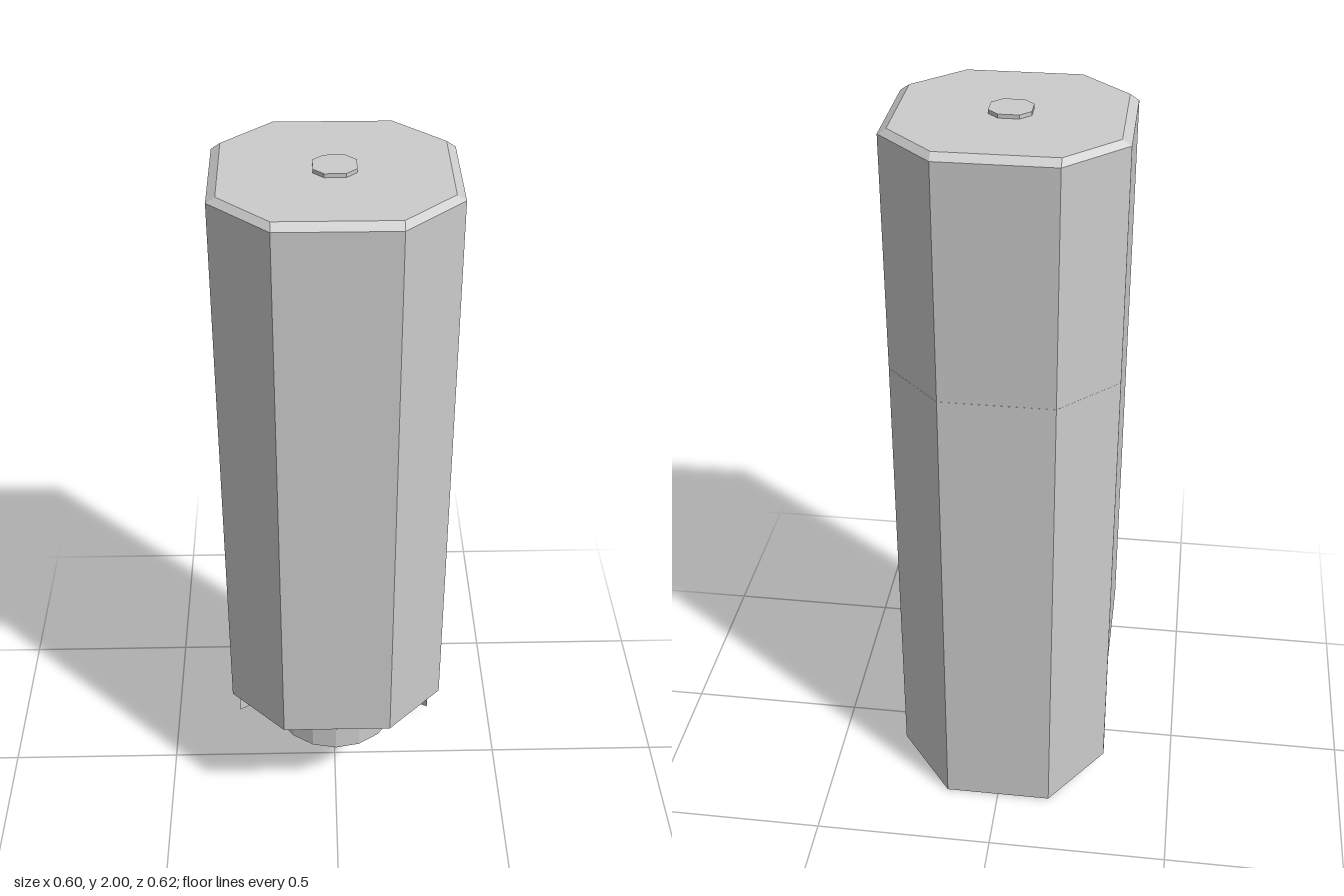
import * as THREE from 'three';

const CZ = 0.0075; // z of the body axis

const material = new THREE.MeshStandardMaterial({ color: 0xcccccc, flatShading: true });

function addMesh(group, name, geometry, x = 0, y = 0, z = 0) {
  const mesh = new THREE.Mesh(geometry, material);
  mesh.name = name;
  mesh.position.set(x, y, z);
  group.add(mesh);
  return mesh;
}

// Joins rings of [x, y, z] points, lowest first, into a closed solid.
function loft(rings) {
  const pos = [];
  const quad = (a, b, c, d) => pos.push(...a, ...b, ...c, ...a, ...c, ...d);
  const n = rings[0].length;
  for (let r = 0; r < rings.length - 1; r++) {
    const lo = rings[r], hi = rings[r + 1];
    for (let i = 0; i < n; i++) {
      const j = (i + 1) % n;
      quad(lo[i], hi[i], hi[j], lo[j]);
    }
  }
  const first = rings[0], last = rings[rings.length - 1];
  for (let i = 0; i < n / 2 - 1; i++) {
    quad(first[i], first[i + 1], first[n - 2 - i], first[n - 1 - i]);
    quad(last[n - 1 - i], last[n - 2 - i], last[i + 1], last[i]);
  }
  const geometry = new THREE.BufferGeometry();
  geometry.setAttribute('position', new THREE.Float32BufferAttribute(pos, 3));
  geometry.computeVertexNormals();
  return geometry;
}

// Octagon with half width w and half length f of its straight sides
function octagon(w, f, y) {
  return [[w, -f], [w, f], [f, w], [-f, w], [-w, f], [-w, -f], [-f, -w], [f, -w]]
    .map(([x, z]) => [x, y, z + CZ]);
}

// Section of the back plate: outer side pushed back by d, corners raised by rise
function plateSection(y, d, rise) {
  const wrap = [[-0.3, -0.15, rise], [-0.15, -0.3, 0], [0.15, -0.3, 0], [0.3, -0.15, rise]];
  const outer = wrap.map(([x, z, up]) => [x, y + up, z + CZ - d]);
  const inner = wrap.map(([x, z, up]) => [x, y + up, z + CZ]).reverse();
  return [...outer, ...inner];
}

export function createModel() {
  const model = new THREE.Group();
  model.name = 'dispenser';

  // Octagonal housing, chamfered at both ends
  addMesh(model, 'housing', loft([
    octagon(0.28, 0.15, 0.4),
    octagon(0.3, 0.15, 0.42),
    octagon(0.3, 0.15, 1.975),
    octagon(0.277, 0.15, 1.99),
  ]));

  // Small cap on the top
  addMesh(model, 'topButton', loft([
    octagon(0.053, 0.026, 1.985),
    octagon(0.053, 0.026, 2),
  ]));

  // Wedge-shaped plate down the back, reaching the floor
  addMesh(model, 'backPlate', loft([
    plateSection(0, 0.0175, 0.055),
    plateSection(1.34, 0.0005, 0),
  ]));

  // Round outlet under the housing with a shallow recess
  const outlet = [[0, 0.265], [0.145, 0.265], [0.17, 0.22], [0.18, 0.22], [0.18, 0.41]]
    .map(([r, y]) => new THREE.Vector2(r, y));
  addMesh(model, 'outlet', new THREE.LatheGeometry(outlet, 16), 0, 0, CZ);

  // Indicator bead under the front edge
  addMesh(model, 'indicator', new THREE.SphereGeometry(0.038, 8, 6), 0, 0.4, 0.238);

  return model;
}
